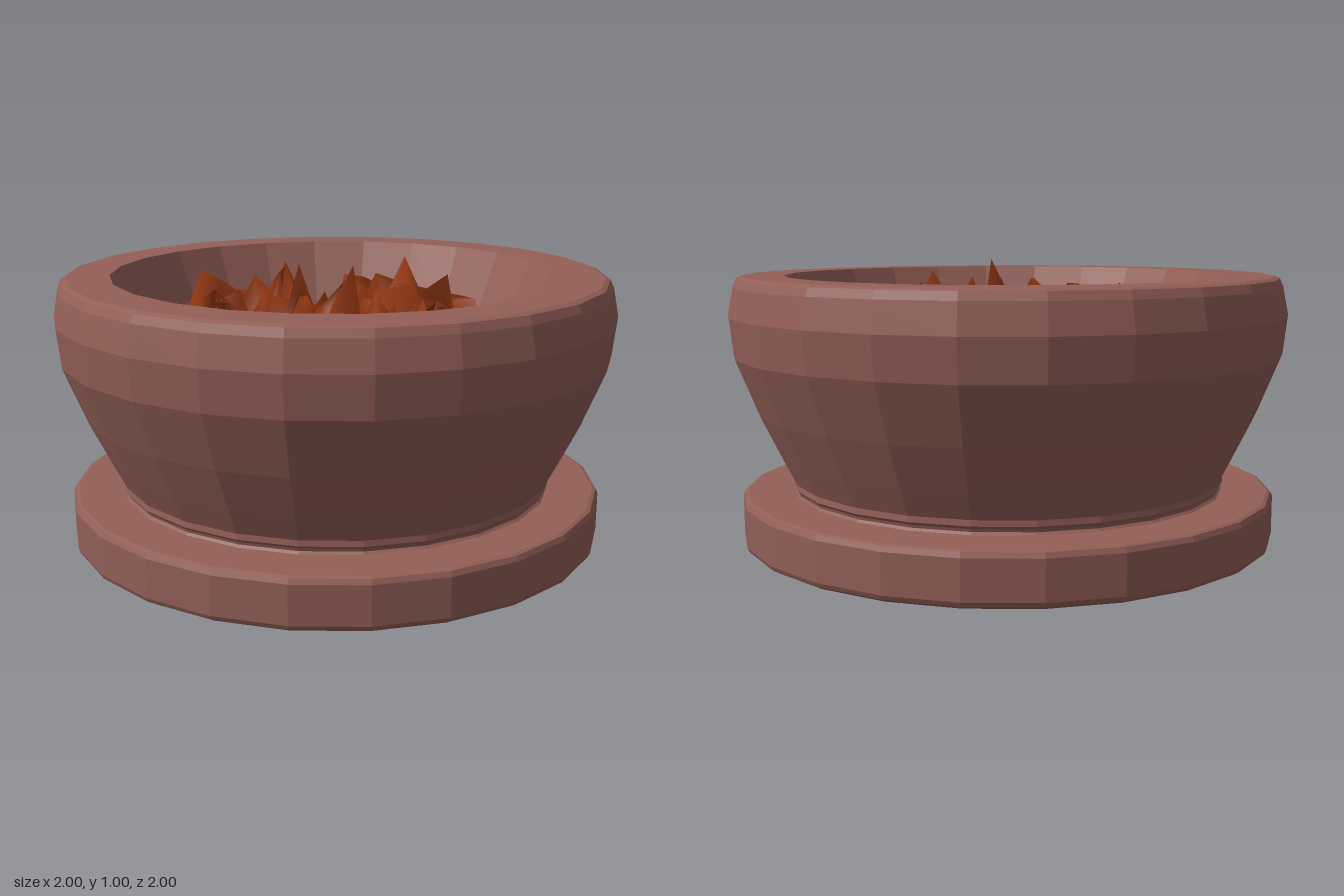
import * as THREE from 'three';

const SIDES = 24;

export function createModel() {
  const root = new THREE.Group();
  root.name = 'flowerPot';
  const clay = new THREE.MeshStandardMaterial({ color: 0x935f57, flatShading: true });
  const earth = new THREE.MeshStandardMaterial({ color: 0x8a3412, side: THREE.DoubleSide });

  const add = (name, geometry, material) => {
    const mesh = new THREE.Mesh(geometry, material);
    mesh.name = name;
    root.add(mesh);
  };
  const turned = (name, profile) =>
    add(name, new THREE.LatheGeometry(profile.map(([r, y]) => new THREE.Vector2(r, y)), SIDES), clay);

  // saucer: flat disc with softened edges
  turned('saucer', [
    [0, 0], [0.94, 0.004], [0.958, 0.015], [0.965, 0.03],
    [0.965, 0.165], [0.957, 0.182], [0.945, 0.187], [0, 0.187],
  ]);

  // bowl: narrow foot, flaring wall, flat rim, then the inside down to the floor
  turned('bowl', [
    [0.785, 0.185], [0.775, 0.195], [0.778, 0.205], [0.787, 0.215], [0.785, 0.235],
    [0.835, 0.335], [0.905, 0.48], [0.985, 0.68], [1, 0.82], [0.98, 0.92],
    [0.967, 0.948], [0.95, 0.956], [0.8, 0.956], [0.69, 0.7],
    [0.62, 0.55], [0.5, 0.45], [0, 0.42],
  ]);

  // soil: square grid wrapped onto a disc, then roughened into clods and spikes
  let seed = 29;
  const rand = () => {
    seed = (seed * 16807) % 2147483647;
    return seed / 2147483647;
  };
  const peaks = [[0.04, 0.19, 1.005], [0.28, -0.17, 0.98]];
  const soil = new THREE.PlaneGeometry(2, 2, 17, 17);
  soil.rotateX(-Math.PI / 2);
  const pos = soil.attributes.position;
  for (let i = 0; i < pos.count; i++) {
    const u = pos.getX(i), v = pos.getZ(i);
    const edge = Math.max(Math.abs(u), Math.abs(v));
    const stretch = edge / (Math.hypot(u, v) || 1);
    const rim = edge > 0.95;
    const radius = rim ? 0.6 + 0.1 * rand() : 0.64;
    const x = u * stretch * radius + 0.085 * (rand() - 0.5);
    const z = v * stretch * radius + 0.085 * (rand() - 0.5);
    const y = rim ? 0.62 + 0.18 * rand() : 0.62 + 0.31 * Math.pow(rand(), 1.2);
    pos.setXYZ(i, x, y, z);
  }
  // the tallest spikes
  for (const [px, pz, py] of peaks) {
    let best = 0, dist = Infinity;
    for (let i = 0; i < pos.count; i++) {
      const d = Math.hypot(pos.getX(i) - px, pos.getZ(i) - pz);
      if (d < dist) { dist = d; best = i; }
    }
    pos.setXYZ(best, px, py, pz);
  }
  soil.computeVertexNormals();
  add('soil', soil, earth);

  return root;
}
